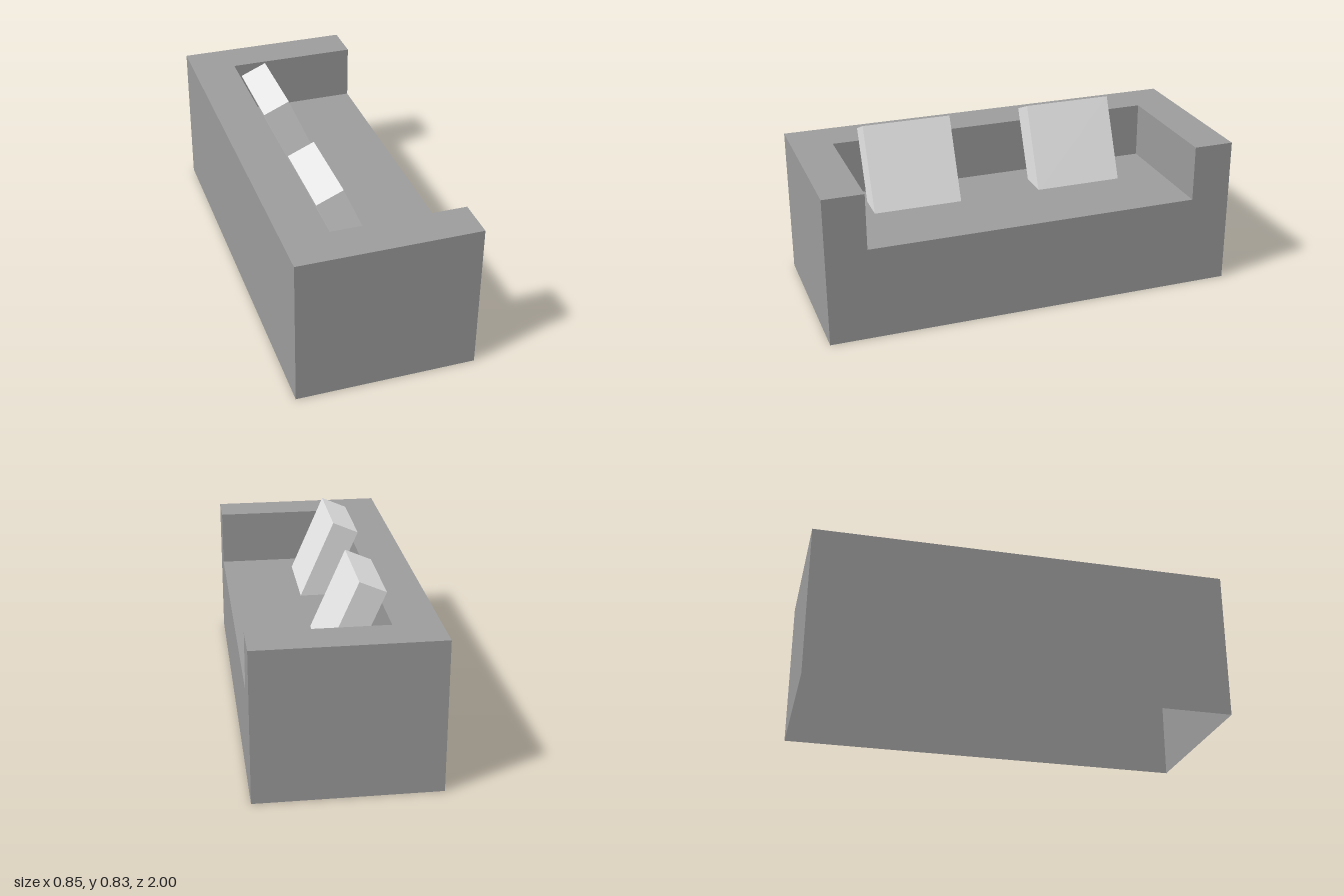
import * as THREE from 'three';

export function createModel() {
  const upholstery = new THREE.MeshStandardMaterial({ color: 0x9d9d9d, side: THREE.DoubleSide });
  upholstery.name = 'grey upholstery';
  const fabric = new THREE.MeshStandardMaterial({ color: 0xe6e6e6 });
  fabric.name = 'light cushion fabric';

  const model = new THREE.Group();
  model.name = 'sofa';

  const X = 0.425, Z = 1, H = 0.72;               // outer size of the body
  const backX = -0.21, armZ = 0.806, seatY = 0.45; // recess of the seat

  const add = (name, geometry, material, position, rotation = [0, 0, 0]) => {
    const mesh = new THREE.Mesh(geometry, material);
    mesh.name = name;
    mesh.position.set(...position);
    mesh.rotation.set(...rotation);
    model.add(mesh);
  };
  const panel = (name, w, h, position, rotation) =>
    add(name, new THREE.PlaneGeometry(w, h), upholstery, position, rotation);
  const outline = (points) =>
    new THREE.ShapeGeometry(new THREE.Shape(points.map(([a, b]) => new THREE.Vector2(a, b))));
  const q = Math.PI / 2;

  // Hollow body, open underneath: front panel notched between the arms
  add('frontPanel', outline([
    [-Z, 0], [Z, 0], [Z, H], [armZ, H], [armZ, seatY], [-armZ, seatY], [-armZ, H], [-Z, H],
  ]), upholstery, [X, 0, 0], [0, q, 0]);
  panel('backPanel', 2 * Z, H, [-X, H / 2, 0], [0, -q, 0]);

  // U-shaped top of the backrest and arms
  add('topRim', outline([
    [-X, -Z], [X, -Z], [X, -armZ], [backX, -armZ], [backX, armZ], [X, armZ], [X, Z], [-X, Z],
  ]), upholstery, [0, H, 0], [-q, 0, 0]);

  // Seat and inside of the backrest
  const seatDepth = X - backX, wallH = H - seatY, wallY = (H + seatY) / 2, seatX = (X + backX) / 2;
  panel('seat', seatDepth, 2 * armZ, [seatX, seatY, 0], [-q, 0, 0]);
  panel('backrest', 2 * armZ, wallH, [backX, wallY, 0], [0, q, 0]);

  // Outer and inner side of each arm
  for (const [side, s] of [['left', 1], ['right', -1]]) {
    panel(side + 'ArmOuter', 2 * X, H, [0, H / 2, s * Z], [0, s > 0 ? 0 : Math.PI, 0]);
    panel(side + 'ArmInner', seatDepth, wallH, [seatX, wallY, s * armZ], [0, s > 0 ? Math.PI : 0, 0]);
  }

  // Two cushions leaning on the backrest
  for (const [name, z] of [['firstCushion', 0.466], ['secondCushion', -0.362]]) {
    add(name, new THREE.BoxGeometry(0.136, 0.426, 0.428), fabric, [-0.081, 0.61, z], [0, 0, 0.41]);
  }
  return model;
}
